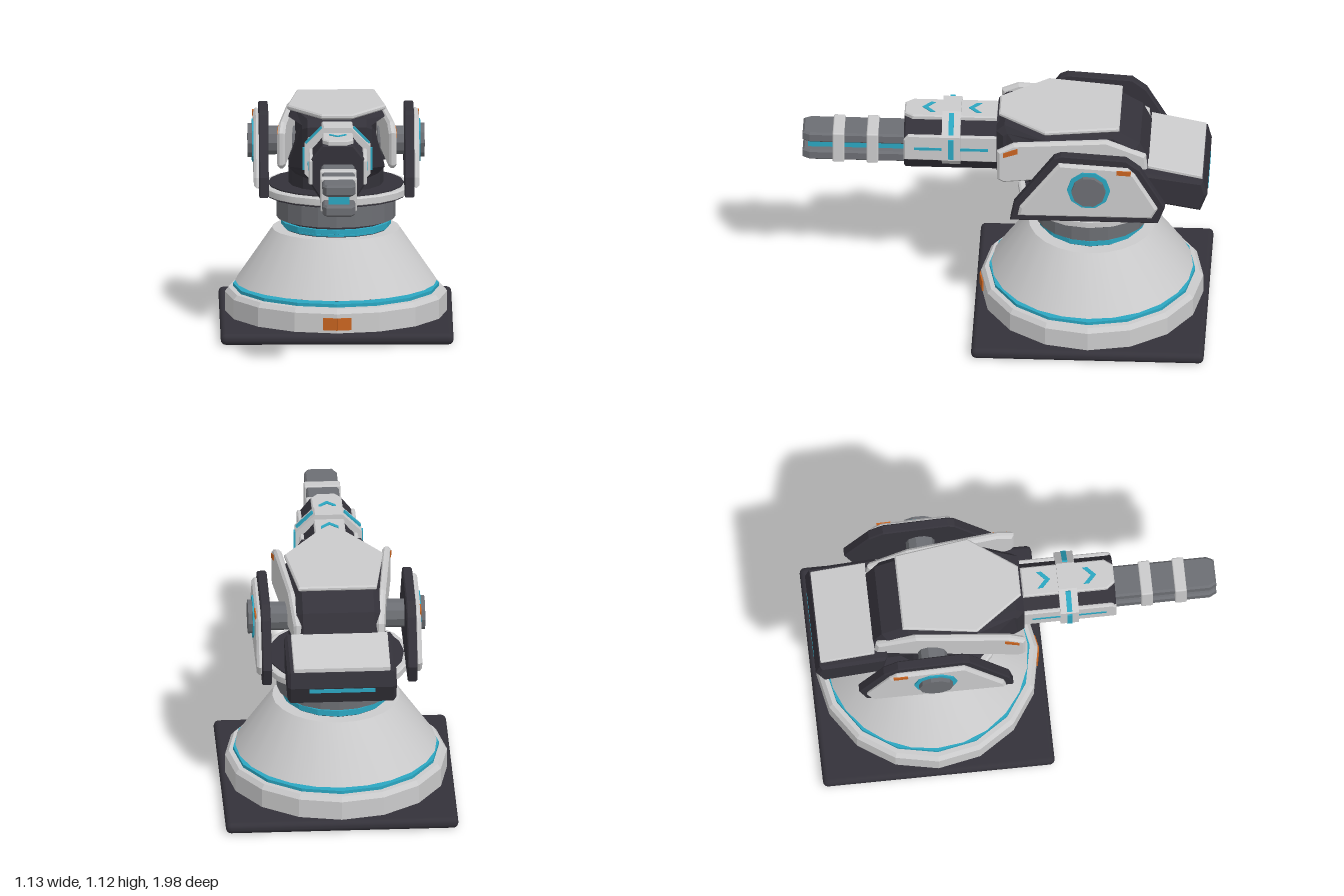
import * as THREE from 'three';
import { RoundedBoxGeometry } from 'three/addons/geometries/RoundedBoxGeometry.js';
import { toCreasedNormals } from 'three/addons/utils/BufferGeometryUtils.js';

const mat = (name, color) => Object.assign(new THREE.MeshStandardMaterial({ color }), { name });

export function createModel() {
  const light = mat('light armour', 0xcbcbcc), dark = mat('dark frame', 0x34323a);
  const grey = mat('grey metal', 0x6c6e73), teal = mat('teal glow', 0x2ba6c1), orange = mat('orange marking', 0xc76320);
  const root = new THREE.Group();
  root.name = 'turret';
  const CZ = -0.42; // turning axis

  const add = (name, geo, material, x = 0, y = 0, z = 0, parent = root) => {
    const m = new THREE.Mesh(geo, material);
    m.name = name;
    m.position.set(x, y, z);
    parent.add(m);
    return m;
  };
  const box = (name, w, h, d, material, x, y, z, parent) =>
    add(name, new THREE.BoxGeometry(w, h, d), material, x, y, z, parent);
  const rbox = (name, w, h, d, r, material, x, y, z, parent) =>
    add(name, new RoundedBoxGeometry(w, h, d, 2, r), material, x, y, z, parent);
  const turned = (name, pts, material, sides = 16, crease = 0.45) =>
    add(name, toCreasedNormals(new THREE.LatheGeometry(pts.map(p => new THREE.Vector2(p[0], p[1])), sides), crease), material, 0, 0, CZ);
  const disc = (name, r, y0, y1, material, sides = 16) => turned(name, [[0, y0], [r, y0], [r, y1], [0, y1]], material, sides, 0.3);
  const shapeOf = pts => new THREE.Shape(pts.map(p => new THREE.Vector2(p[0], p[1])));
  const extrude = (pts, depth, bevel) => new THREE.ExtrudeGeometry(shapeOf(pts), {
    depth: depth - 2 * bevel, bevelEnabled: bevel > 0, bevelSize: bevel, bevelThickness: bevel, bevelOffset: -bevel, bevelSegments: 1,
  }).translate(0, 0, bevel);
  // side profile given as [z, y], extruded from x0 to x1
  const sideways = (pts, x0, x1, bevel = 0) =>
    extrude(pts.map(([z, y]) => [-z, y]), x1 - x0, bevel).rotateY(Math.PI / 2).translate(x0, 0, 0);
  const warp = (geo, rule) => {
    const p = geo.attributes.position, v = new THREE.Vector3();
    for (let i = 0; i < p.count; i++) {
      rule(v.fromBufferAttribute(p, i));
      p.setXYZ(i, v.x, v.y, v.z);
    }
    geo.computeVertexNormals();
    return geo;
  };

  // Pedestal
  rbox('basePlate', 1.13, 0.055, 1.13, 0.025, dark, 0, 0.0275, CZ);
  turned('baseDrum', [[0, 0.05], [0.54, 0.05], [0.54, 0.15], [0.522, 0.172], [0, 0.172]], light, 16, 0.3);
  disc('baseGap', 0.43, 0.172, 0.206, dark);
  disc('baseGlowRing', 0.5, 0.175, 0.191, teal);
  turned('pedestalCone', [[0, 0.205], [0.49, 0.205], [0.31, 0.468], [0, 0.468]], light, 24);
  disc('neckCore', 0.25, 0.46, 0.53, dark);
  disc('neckLowerGlow', 0.255, 0.472, 0.482, teal);
  disc('neckGlowRing', 0.268, 0.486, 0.508, teal);
  disc('collar', 0.29, 0.525, 0.622, grey, 20);
  disc('spindle', 0.23, 0.6, 0.82, dark);
  turned('turntable', [[0, 0.645], [0.352, 0.645], [0.362, 0.65], [0.362, 0.68], [0.352, 0.686], [0, 0.686]], light, 20);
  disc('turntableUnderside', 0.34, 0.635, 0.646, dark, 20);
  disc('turntableTop', 0.33, 0.685, 0.692, dark, 20);
  for (const s of [-1, 1]) { // marking wraps the front corner of the drum
    box('baseMarking', 0.07, 0.06, 0.008, orange, s * 0.0345, 0.1, 0.116).rotation.y = s * Math.PI / 16;
  }

  // Head
  const headPts = [[0.04, 1.06], [0, 1.095], [-0.2, 1.1], [-0.54, 1.1], [-0.66, 1.03], [-0.74, 0.86],
    [-0.68, 0.73], [-0.5, 0.75], [-0.2, 0.78], [-0.04, 0.79], [0.04, 0.83]];
  add('headBody', warp(sideways(headPts, -0.235, 0.235, 0.035), v => {
    v.x *= v.z > -0.06 ? 0.72 : v.z < -0.45 ? 0.87 : 1;
  }), dark);
  const roof = [[0.19, 0.56], [0.24, 0.2], [0.075, -0.03], [-0.075, -0.03], [-0.24, 0.2], [-0.19, 0.56]];
  add('roofPlate', extrude(roof, 0.024, 0.007).rotateX(-Math.PI / 2), light, 0, 1.098, 0);

  // Rear counterweight
  add('counterweight', sideways([[-0.64, 0.91], [-0.97, 0.865], [-0.99, 0.79], [-0.955, 0.697], [-0.66, 0.75]],
    -0.265, 0.265, 0.015), dark);
  add('counterweightCover', sideways([[-0.7, 0.92], [-0.7, 0.94], [-0.965, 0.885], [-0.965, 0.865]], -0.235, 0.235, 0.004), light);
  box('rearGlow', 0.32, 0.02, 0.012, teal, 0, 0.775, -0.985);

  // Parts mirrored on both sides
  const yoke = [[-0.037, 0.695], [-0.055, 0.79], [-0.25, 1.06], [-0.285, 1.075], [-0.6, 1.055],
    [-0.67, 1.0], [-0.79, 0.79], [-0.755, 0.695]];
  const pad = [[-0.075, 0.735], [-0.085, 0.785], [-0.275, 1.04], [-0.61, 1.02], [-0.645, 0.985], [-0.755, 0.79], [-0.725, 0.735]];
  const cheek = [[0.03, 1.03], [-0.05, 1.07], [-0.5, 1.07], [-0.69, 0.98], [-0.7, 0.88], [0, 0.85], [0.03, 0.87]];
  for (const s of [1, -1]) {
    const span = (pts, a, b, bevel) => sideways(pts, Math.min(s * a, s * b), Math.max(s * a, s * b), bevel);
    const side = new THREE.Group();
    side.name = s > 0 ? 'leftSide' : 'rightSide';
    root.add(side);
    const hub = (name, r, a, b, m) => add(name, new THREE.CylinderGeometry(r, r, b - a, 10).rotateZ(Math.PI / 2).toNonIndexed(),
      m, s * (a + b) / 2, 0.9, CZ, side).geometry.computeVertexNormals();
    add('yokePanel', span(yoke, 0.33, 0.377, 0.006), dark, 0, 0, 0, side);
    add('yokeArmour', span(pad, 0.37, 0.402, 0.012), light, 0, 0, 0, side);
    hub('hubGlow', 0.105, 0.39, 0.409, teal);
    hub('hubCap', 0.083, 0.39, 0.43, grey);
    hub('innerHub', 0.07, 0.2, 0.335, grey);
    box('yokeMarking', 0.008, 0.024, 0.07, orange, s * 0.401, 1.0, -0.59, side).rotation.x = -0.06;
    const lean = v => { v.x += s * 0.1 * v.z; };
    add('cheekArmour', warp(span(cheek, 0.25, 0.288, 0.012), lean), light, 0, 0, 0, side);
    add('cheekMarking', warp(span([[0, 1.0], [0, 1.025], [-0.07, 1.05], [-0.07, 1.02]], 0.284, 0.292, 0), lean),
      orange, 0, 0, 0, side);
    // Barrel flank
    add('barrelFlank', span([[0.03, 0.87], [0.03, 1.015], [0.47, 1.015], [0.49, 0.99], [0.49, 0.875]], 0.12, 0.142, 0.006),
      light, 0, 0, 0, side);
    box('barrelGlowStrip', 0.008, 0.014, 0.36, teal, s * 0.141, 0.942, 0.26, side);
  }

  // Barrel housing
  const housing = [[0.075, 1.07], [0.13, 1.0], [0.13, 0.87], [0.085, 0.8]];
  const octagon = [...housing, ...housing.map(([x, y]) => [-x, y]).reverse()];
  add('barrelHousing', extrude(octagon, 0.5, 0.008), dark, 0, 0, -0.01);
  const deck = [[0.075, -0.04], [0.075, -0.45], [0.045, -0.49], [-0.045, -0.49], [-0.075, -0.45], [-0.075, -0.04]];
  add('barrelTopPlate', extrude(deck, 0.028, 0.006).rotateX(-Math.PI / 2), light, 0, 1.064, 0);
  const chevron = [[0, -0.03], [0.042, 0.01], [0.042, 0.035], [0, -0.004], [-0.042, 0.035], [-0.042, 0.01]];
  for (const z of [0.15, 0.375]) add('chevron', extrude(chevron, 0.006, 0).rotateX(-Math.PI / 2), teal, 0, 1.089, z);

  // Band around the barrel, with glowing inserts
  const ring = new THREE.Group();
  ring.name = 'barrelBand';
  ring.position.set(0, 0.955, 0.26);
  root.add(ring);
  const oct = r => Array.from({ length: 8 }, (_, i) => {
    const a = (i + 0.5) * Math.PI / 4;
    return [Math.cos(a) * r, Math.sin(a) * r];
  });
  const bandShape = shapeOf(oct(0.174));
  bandShape.holes.push(new THREE.Path(oct(0.14).map(p => new THREE.Vector2(...p))));
  add('bandShell', new THREE.ExtrudeGeometry(bandShape, { depth: 0.09, bevelEnabled: false }), light, 0, 0, -0.045, ring);
  for (const i of [0, 1, 3, 4, 6]) {
    const a = i * Math.PI / 4, r = 0.163;
    box('bandGlow', 0.012, 0.11, 0.025, teal, Math.cos(a) * r, Math.sin(a) * r, 0, ring).rotation.z = a;
  }

  // Twin rail muzzle
  const rail = [[0.08, -0.47], [0.08, -0.95], [0.062, -0.985], [-0.062, -0.985], [-0.08, -0.95], [-0.08, -0.47]];
  for (const y of [0.82, 0.92]) add('muzzleRail', extrude(rail, 0.055, 0.01).rotateX(-Math.PI / 2), grey, 0, y, 0);
  box('muzzleGlow', 0.1, 0.038, 0.47, teal, 0, 0.898, 0.725);
  for (const z of [0.645, 0.81]) rbox('muzzleBand', 0.176, 0.166, 0.058, 0.008, light, 0, 0.898, z);

  return root;
}
